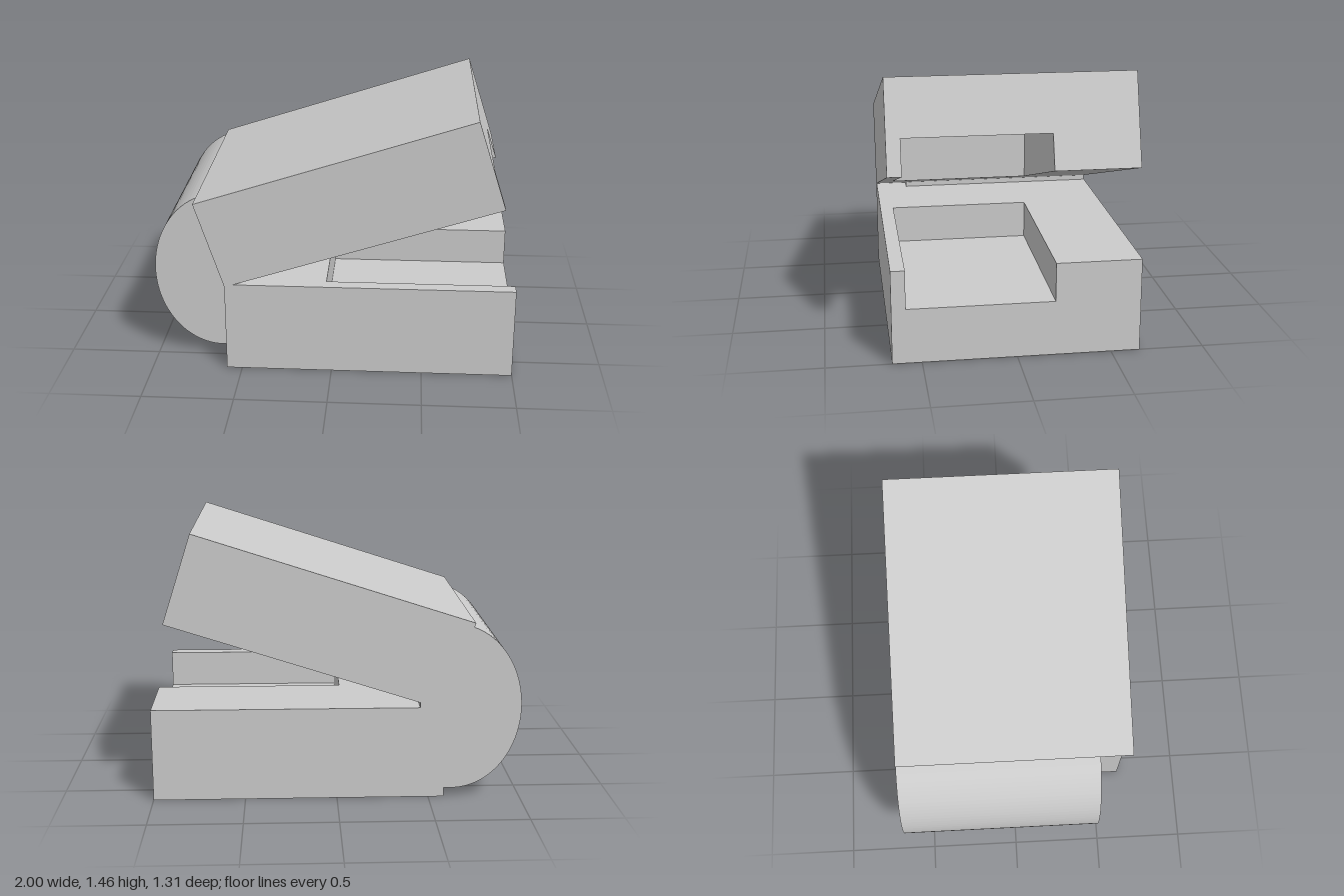
import * as THREE from 'three';

const material = new THREE.MeshStandardMaterial({ color: 0xcccccc, flatShading: true });
const HALF = 0.655;            // half depth of both blocks
const Z0 = -0.2, Z1 = 0.58;    // pocket extent in depth
const POCKET_X = -0.03;        // inner wall of the pocket
const FLOOR_Y = 0.3, CEILING_Y = 1.165;

// Extrude an x-y profile between two depths
function slab(name, shape, z0, z1) {
  const geo = new THREE.ExtrudeGeometry(shape, { depth: z1 - z0, bevelEnabled: false, curveSegments: 24 });
  geo.translate(0, 0, z0);
  const mesh = new THREE.Mesh(geo, material);
  mesh.name = name;
  return mesh;
}

const polygon = pts => new THREE.Shape(pts.map(([x, y]) => new THREE.Vector2(x, y)));

// A block with full side walls and a notched middle section
function pocketBlock(name, full, notched) {
  const group = new THREE.Group();
  group.name = name;
  group.add(
    slab(name + 'BackWall', polygon(full), -HALF, Z0),
    slab(name + 'Pocket', polygon(notched), Z0, Z1),
    slab(name + 'FrontWall', polygon(full), Z1, HALF)
  );
  return group;
}

export function createModel() {
  const model = new THREE.Group();
  model.name = 'hingedClamp';

  // Lower block, lying flat, pocket open to the top and the +x end
  const L = -0.585, R = 1, H = 0.51;
  model.add(pocketBlock('lowerJaw',
    [[L, 0], [R, 0], [R, H], [L, H]],
    [[L, 0], [R, 0], [R, FLOOR_Y], [POCKET_X, FLOOR_Y], [POCKET_X, H], [L, H]]));

  // Upper block, tilted open about its lower rear corner
  const a = THREE.MathUtils.degToRad(17.9);
  const at = (u, v) => [
    -0.584 + u * Math.cos(a) - v * Math.sin(a),
    0.495 + u * Math.sin(a) + v * Math.cos(a)
  ];
  const len = 1.58, thick = 0.505;
  const A = at(0, 0), B = at(len, 0), C = at(len, thick), D = at(0, thick);
  const wallFoot = A[1] + (POCKET_X - A[0]) * Math.tan(a);
  const endX = B[0] - (CEILING_Y - B[1]) * Math.tan(a);
  // The pocket is cut level and upright through the tilted block
  model.add(pocketBlock('upperJaw',
    [A, B, C, D],
    [A, [POCKET_X, wallFoot], [POCKET_X, CEILING_Y], [endX, CEILING_Y], C, D]));

  // Rounded hinge body: half ellipse with a straight part buried in the jaws
  const hinge = new THREE.Shape();
  hinge.moveTo(-0.45, 0.05);
  hinge.lineTo(-0.45, 0.97);
  hinge.absellipse(-0.63, 0.51, 0.37, 0.46, Math.PI / 2, Math.PI * 1.5, false, 0);
  model.add(slab('hinge', hinge, -HALF + 0.001, 0.475));

  return model;
}
